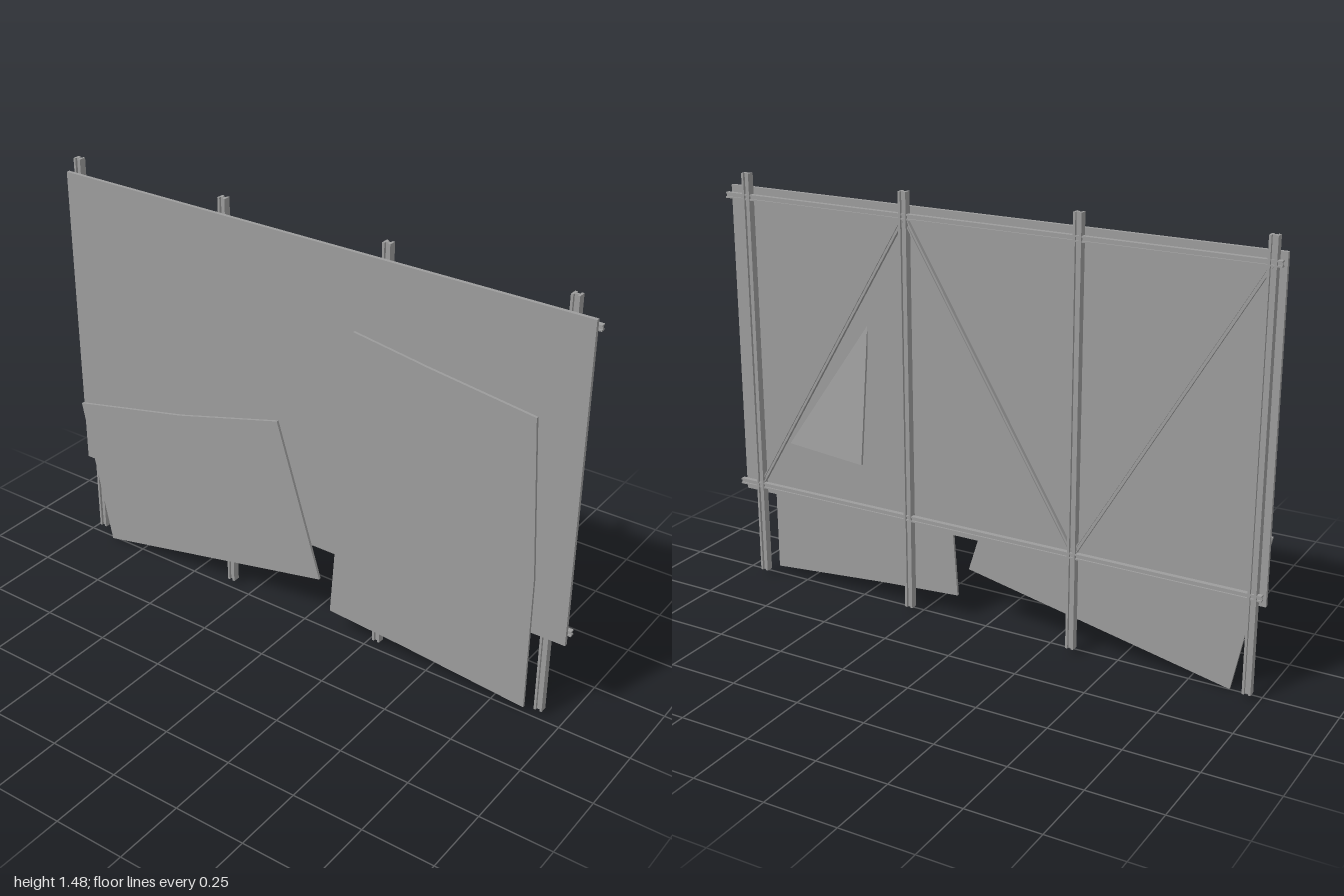
import * as THREE from 'three';

const material = new THREE.MeshStandardMaterial({ color: 0x9c9c9c, side: THREE.DoubleSide });

function add(parent, name, geometry) {
  const mesh = new THREE.Mesh(geometry, material);
  mesh.name = name;
  parent.add(mesh);
  return mesh;
}

// H-beam between two points [x, y]; its channels open to the front and back
function beam(parent, name, a, b, width, zFront, zBack, flange) {
  const w = width / 2, f = w - flange, web = flange / 2;
  const d = (zFront - zBack) / 2;
  const outline = [
    [-w, -d], [-f, -d], [-f, -web], [f, -web], [f, -d], [w, -d],
    [w, d], [f, d], [f, web], [-f, web], [-f, d], [-w, d],
  ];
  const shape = new THREE.Shape(outline.map(([x, y]) => new THREE.Vector2(x, y)));
  const dx = b[0] - a[0], dy = b[1] - a[1];
  const length = Math.hypot(dx, dy);
  const geometry = new THREE.ExtrudeGeometry(shape, { depth: length, bevelEnabled: false });
  geometry.translate(0, 0, -length / 2);
  geometry.rotateX(-Math.PI / 2); // length along y
  const mesh = add(parent, name, geometry);
  mesh.rotation.z = -Math.atan2(dx, dy);
  mesh.position.set((a[0] + b[0]) / 2, (a[1] + b[1]) / 2, (zFront + zBack) / 2);
}

// thin sheet from an outline; lean(x, y) offsets it in depth
function sheet(parent, name, points, lean = () => 0) {
  const shape = new THREE.Shape(points.map(([x, y]) => new THREE.Vector2(x, y)));
  const geometry = new THREE.ExtrudeGeometry(shape, { depth: 0.0095, bevelEnabled: false });
  const p = geometry.attributes.position;
  for (let i = 0; i < p.count; i++) p.setZ(i, p.getZ(i) + lean(p.getX(i), p.getY(i)));
  geometry.computeVertexNormals();
  // the front shades as one smooth surface across the fold
  const n = geometry.attributes.normal;
  for (let i = 0; i < n.count; i++) if (n.getZ(i) > 0.5) n.setXYZ(i, 0, 0, 1);
  add(parent, name, geometry);
}

export function createModel() {
  const model = new THREE.Group();
  model.name = 'billboard';

  // main board
  const board = add(model, 'board', new THREE.BoxGeometry(1.99, 1.115, 0.013));
  board.position.set(-0.002, 0.878, -0.0075);

  // upright posts
  const frame = new THREE.Group();
  frame.name = 'frame';
  model.add(frame);
  const postX = [-0.96, -0.34, 0.287, 0.914];
  for (const x of postX) beam(frame, 'post', [x, 0.02], [x, 1.485], 0.029, -0.015, -0.041, 0.008);

  // horizontal rails
  const low = 0.355, high = 1.403;
  for (const y of [low, high]) beam(frame, 'rail', [-0.99, y], [1, y], 0.02, -0.022, -0.039, 0.005);

  // zigzag braces between the posts
  for (let i = 0; i < 3; i++) {
    const [y0, y1] = i % 2 ? [low, high] : [high, low];
    beam(frame, 'brace', [postX[i], y0], [postX[i + 1], y1], 0.014, -0.02, -0.033, 0.004);
  }

  // slipped sheet on the right side
  sheet(model, 'tiltedSheet',
    [[-1, 0.548], [-0.89, 0.002], [0.067, 0.2], [-0.108, 0.762], [-0.53, 0.648]]);

  // hanging sheet on the left side, its upper corner peeling off
  const hanging = new THREE.Group();
  hanging.name = 'hangingSheet';
  model.add(hanging);
  sheet(hanging, 'flatPart',
    [[0.19, 1.175], [0.113, 0.09], [0.41, 0.07], [0.874, 0.03], [0.874, 0.53], [0.45, 1.135]]);
  sheet(hanging, 'peelingPart',
    [[0.45, 1.135], [0.45, 0.53], [0.874, 0.53], [0.874, 1.125]],
    (x, y) => 0.071 * ((x - 0.45) / 0.424 - (1.13 - y) / 0.6));

  return model;
}
